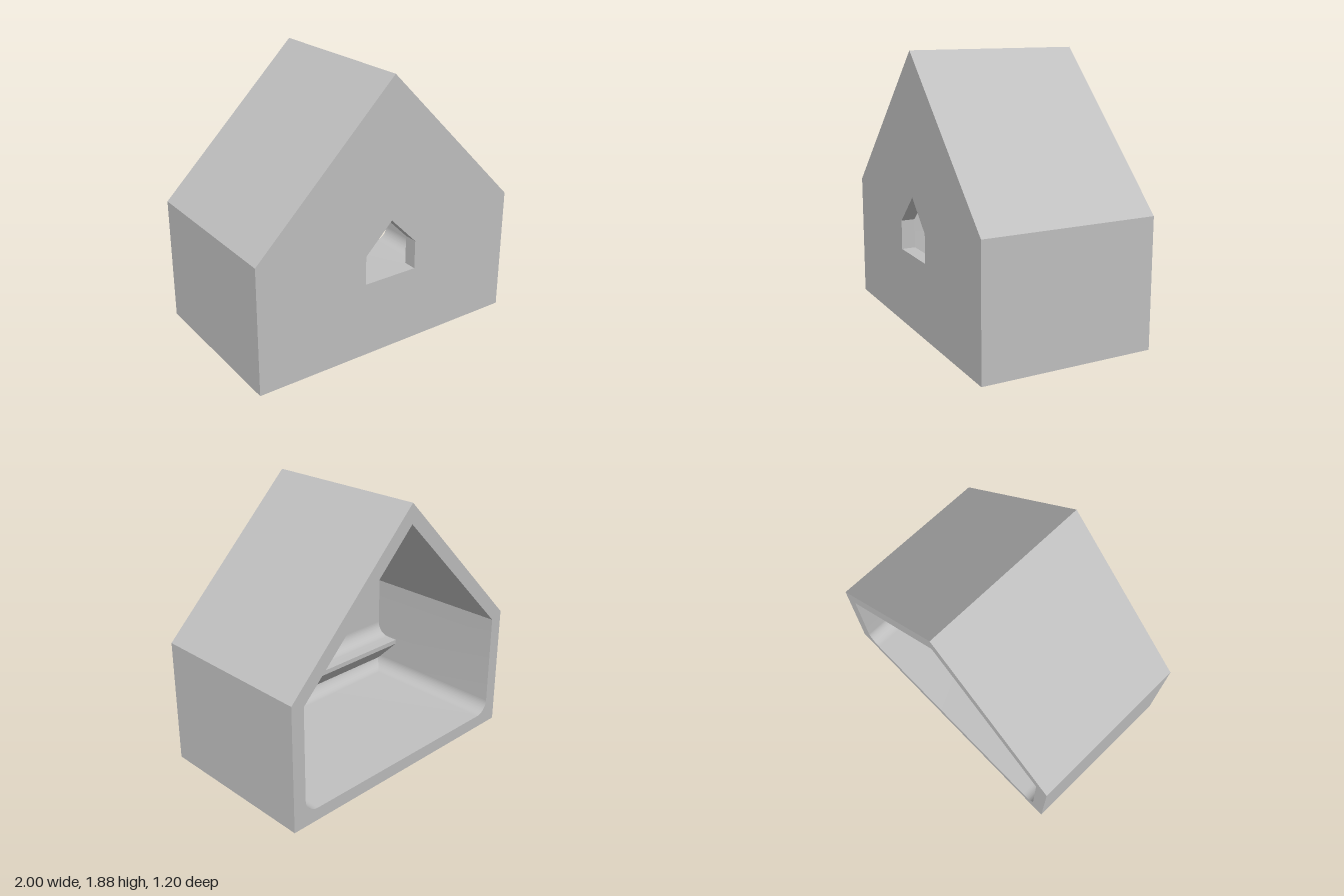
import * as THREE from 'three';
import { toCreasedNormals } from 'three/addons/utils/BufferGeometryUtils.js';

const T = 0.095;                 // wall thickness
const R = 0.1;                   // fillet radius
const FLOOR = 0.09;              // top of the floor
const HALF_DEPTH = 0.6;
const INNER_Z = HALF_DEPTH - T;  // inner face of the front wall

// Gabled outline: straight sides, 45 degree roof, optional rounded bottom corners
function houseOutline(path, half, bottom, eave, apex, r = 0) {
  path.moveTo(0, apex);
  path.lineTo(-half, eave);
  if (r > 0) {
    path.lineTo(-half, bottom + r);
    path.absarc(-half + r, bottom + r, r, Math.PI, Math.PI * 1.5, false);
    path.absarc(half - r, bottom + r, r, Math.PI * 1.5, Math.PI * 2, false);
  } else {
    path.lineTo(-half, bottom);
    path.lineTo(half, bottom);
  }
  path.lineTo(half, eave);
  path.closePath();
  return path;
}

function extrude(shape, depth) {
  const geo = new THREE.ExtrudeGeometry(shape, { depth, bevelEnabled: false, curveSegments: 14 });
  return toCreasedNormals(geo, 0.4);
}

export function createModel() {
  const group = new THREE.Group();
  const grey = new THREE.MeshStandardMaterial({ color: 0xc0c0c0 });
  grey.name = 'plain grey';

  const add = (name, geo) => {
    const mesh = new THREE.Mesh(geo, grey);
    mesh.name = name;
    group.add(mesh);
    return mesh;
  };
  const outer = () => houseOutline(new THREE.Shape(), 1, 0, 0.88, 1.88);

  // Floor, side walls and roof as one sleeve, open at the back
  const sleeve = outer();
  sleeve.holes.push(houseOutline(new THREE.Path(), 1 - T, FLOOR,
    0.88 - T * (Math.SQRT2 - 1), 1.88 - T * Math.SQRT2, R));
  add('shell', extrude(sleeve, 2 * HALF_DEPTH - T)).position.z = -HALF_DEPTH;

  // Front wall with the small house-shaped window
  const front = outer();
  front.holes.push(houseOutline(new THREE.Path(), 0.2, 0.525, 0.725, 0.925));
  add('frontWall', extrude(front, T)).position.z = INNER_Z;

  // Strips across the inside of the front wall; profile x runs towards the back
  const strip = (name, shape) => {
    const geo = extrude(shape, 1.84).rotateY(Math.PI / 2);
    add(name, geo).position.set(-0.92, 0, INNER_Z);
  };

  // Ledge below the window: filleted top, short lip, sloping underside
  const ledge = new THREE.Shape();
  const top = 0.38, reach = 0.19, lip = 0.345;
  ledge.moveTo(-0.02, top + R);
  ledge.lineTo(0, top + R);
  ledge.absarc(R, top + R, R, Math.PI, Math.PI * 1.5, false);
  ledge.lineTo(reach, top);
  ledge.lineTo(reach, lip);
  ledge.lineTo(-0.02, lip - reach - 0.02);
  ledge.closePath();
  strip('ledge', ledge);

  // Rounded join of floor and front wall
  const cove = new THREE.Shape();
  cove.moveTo(-0.02, FLOOR + R);
  cove.lineTo(0, FLOOR + R);
  cove.absarc(R, FLOOR + R, R, Math.PI, Math.PI * 1.5, false);
  cove.lineTo(R, FLOOR - 0.02);
  cove.lineTo(-0.02, FLOOR - 0.02);
  cove.closePath();
  strip('floorCove', cove);

  return group;
}
